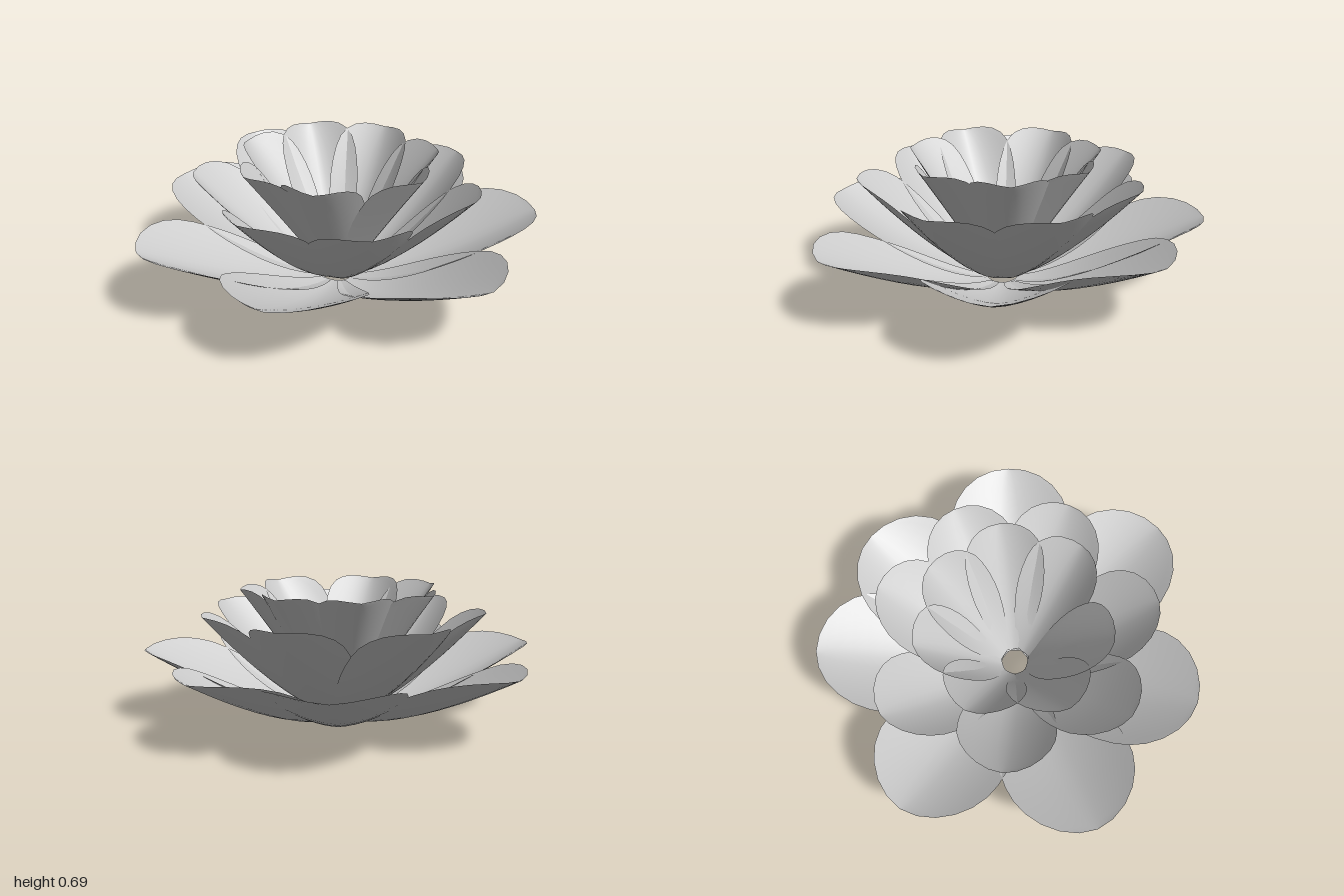
import * as THREE from 'three';

const material = new THREE.MeshStandardMaterial({ color: 0xcccccc, side: THREE.DoubleSide });
const WIDEST = 0.72; // position of the widest point along the petal

// Half-width fraction: narrow base, swelling body, round tip
function outline(t) {
  if (t <= WIDEST) return 0.2 + 0.8 * Math.sin((Math.PI / 2) * (t / WIDEST));
  const k = (t - WIDEST) / (1 - WIDEST);
  return Math.sqrt(Math.max(0, 1 - k ** 2.2));
}

// A cupped petal growing along +x; its centre line is a curve in radius and height
function petalGeometry({ base, bend, tip, halfWidth, cup }) {
  const curve = new THREE.QuadraticBezierCurve(
    new THREE.Vector2(...base), new THREE.Vector2(...bend), new THREE.Vector2(...tip));
  const rows = [];
  for (let i = 0; i < 8; i++) rows.push((WIDEST * i) / 8);
  for (let i = 0; i <= 6; i++) rows.push(WIDEST + (1 - WIDEST) * Math.sin((Math.PI / 2) * (i / 6)));
  const cols = 12;
  const geometry = new THREE.PlaneGeometry(1, 1, cols, rows.length - 1);
  const pos = geometry.attributes.position;
  rows.forEach((t, i) => {
    const p = curve.getPoint(t);
    for (let j = 0; j <= cols; j++) {
      const side = ((2 * j) / cols - 1) * outline(t);
      const lift = cup * Math.abs(side) ** 1.6;
      // The sides rise and lean slightly inwards
      pos.setXYZ(i * (cols + 1) + j, p.x - 0.3 * lift, p.y + lift, side * halfWidth);
    }
  });
  geometry.computeVertexNormals();
  return geometry;
}

// Rings of seven slightly irregular petals, angles in degrees from +x towards +z
const rings = [
  { name: 'outerPetal', base: [0.07, 0], bend: [0.4, 0], tip: [1, 0.35], halfWidth: 0.33, cup: 0.11,
    angles: [21, 81, 129, 184, 238, 279, 329], reach: [1.02, 0.98, 1.04, 1.03, 1.03, 0.99, 1.03] },
  { name: 'middlePetal', base: [0.07, 0.02], bend: [0.33, 0.12], tip: [0.73, 0.57], halfWidth: 0.245, cup: 0.1,
    angles: [-6, 51, 101, 156, 206, 258, 305], reach: [1, 1, 0.99, 1.01, 1.08, 0.99, 0.99] },
  { name: 'innerPetal', base: [0.07, 0.03], bend: [0.225, 0.28], tip: [0.51, 0.675], halfWidth: 0.2, cup: 0.12,
    angles: [12, 76, 122, 178, 225, 273, 322], reach: [1, 0.96, 1.02, 1.02, 1, 0.99, 1.01] },
];

export function createModel() {
  const flower = new THREE.Group();
  flower.name = 'flower';
  for (const ring of rings) {
    const geometry = petalGeometry(ring);
    ring.angles.forEach((angle, i) => {
      const petal = new THREE.Mesh(geometry, material);
      petal.name = ring.name;
      petal.position.x = 0.03;
      petal.rotation.y = -THREE.MathUtils.degToRad(angle);
      petal.scale.x = ring.reach[i];
      flower.add(petal);
    });
  }
  return flower;
}
